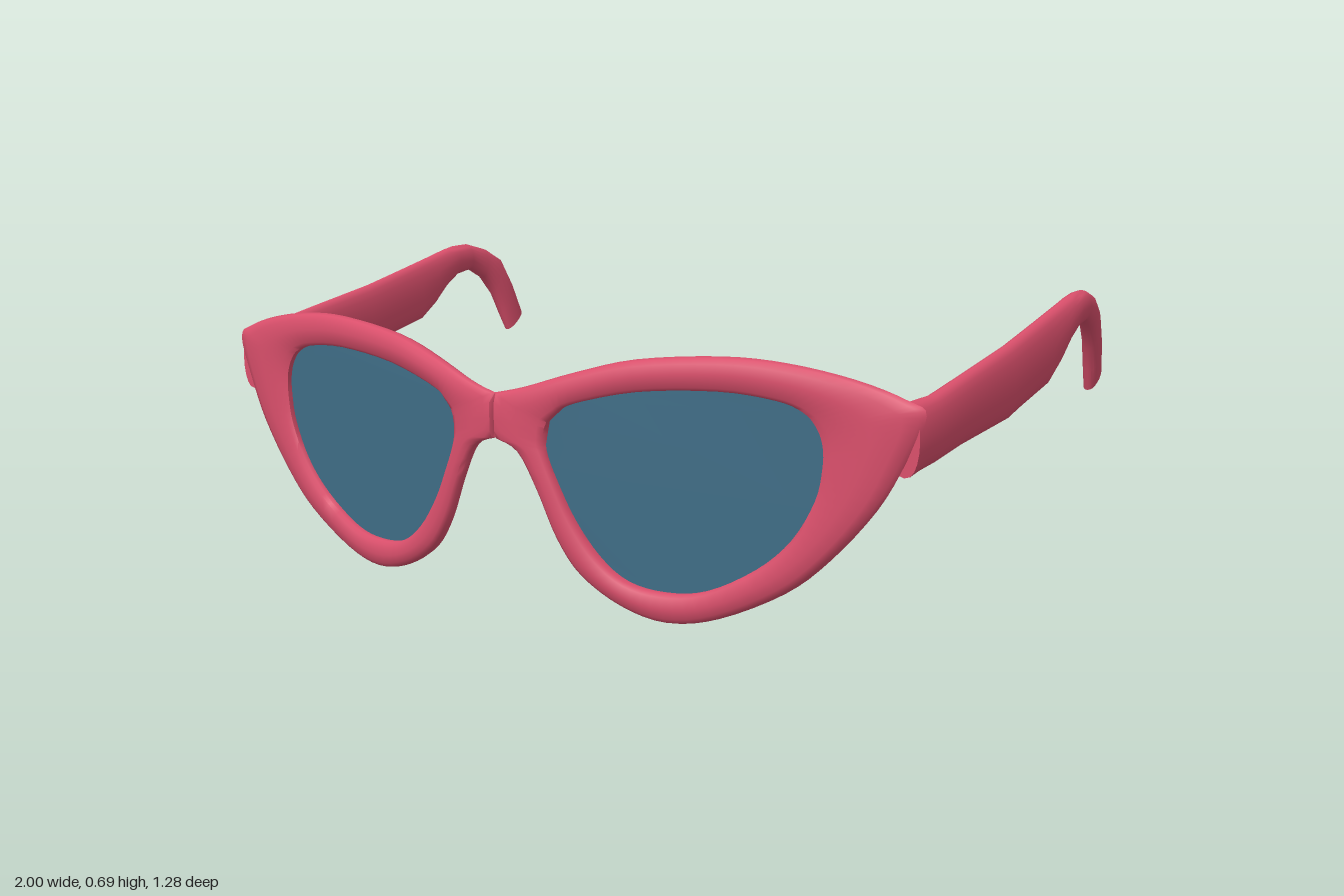
import * as THREE from 'three';
import { mergeGeometries, toCreasedNormals } from 'three/addons/utils/BufferGeometryUtils.js';

const frameMat = new THREE.MeshStandardMaterial({ color: 0xd94f6b });
frameMat.name = 'rose red';
const lensMat = new THREE.MeshStandardMaterial({ color: 0x3f6d86, side: THREE.DoubleSide });
lensMat.name = 'smoky blue';

// Rim outline and matching lens outline, from the bridge top around to the bridge bottom
const OUTER = [[0, .495], [.08, .515], [.2, .555], [.35, .595], [.55, .615], [.7, .61], [.85, .585],
  [.96, .55], [1, .52], [.96, .42], [.9, .31], [.8, .19], [.7, .105], [.55, .03], [.43, .005],
  [.32, .03], [.22, .09], [.16, .17], [.11, .28], [.06, .365], [0, .39]];
const INNER = [[.14, .44], [.16, .46], [.2, .485], [.36, .525], [.55, .54], [.68, .53], [.74, .51],
  [.77, .48], [.785, .44], [.785, .39], [.77, .32], [.72, .23], [.64, .155], [.52, .09], [.42, .075],
  [.33, .09], [.26, .14], [.2, .22], [.155, .31], [.135, .36], [.13, .385]];
// Rim cross-section: [inner to outer, front to back]
const RIM = [[0, .2], [.1, .03], [.5, 0], [.8, .06], [.95, .25], [1, .5],
  [.95, .75], [.8, .94], [.5, 1], [.1, .97], [0, .8]];
// Temple stations: top z, top y, bottom z, bottom y, centre x, half width
const TEMPLE = [[.455, .545, .455, .385, .955, .035], [.42, .545, .42, .393, .958, .034],
  [.36, .55, .36, .403, .968, .027], [.2, .577, .24, .42, .97, .026], [0, .61, 0, .44, .97, .026],
  [-.08, .627, -.06, .455, .97, .026], [-.2, .653, -.22, .49, .97, .026],
  [-.28, .67, -.28, .53, .97, .026], [-.34, .683, -.33, .575, .97, .026],
  [-.38, .689, -.38, .605, .97, .026], [-.43, .69, -.44, .615, .968, .025],
  [-.5, .67, -.49, .585, .96, .024], [-.56, .635, -.53, .53, .95, .023],
  [-.605, .555, -.555, .47, .942, .022], [-.64, .47, -.575, .42, .934, .018]];

const toCurve = pts => new THREE.SplineCurve(pts.map(p => new THREE.Vector2(...p)));
const frontZ = x => .655 - .185 * Math.sqrt(x * x + .008);
const depth = x => .03 + .025 * Math.min(1, x / .25) - .012 * x;

// Skin a list of rings; side = -1 mirrors the result
function loft(rings, closed, side) {
  const n = rings[0].length, pos = [], index = [];
  rings.forEach(r => r.forEach(([x, y, z]) => pos.push(x * side, y, z)));
  const tri = (a, b, c) => (side > 0 ? index.push(a, b, c) : index.push(a, c, b));
  for (let i = 0; i < rings.length - (closed ? 0 : 1); i++) {
    const next = (i + 1) % rings.length;
    for (let j = 0; j < n; j++) {
      const k = (j + 1) % n;
      const a = i * n + j, b = i * n + k, c = next * n + k, d = next * n + j;
      tri(a, c, b);
      tri(a, d, c);
    }
  }
  if (!closed) {
    const e = (rings.length - 1) * n;
    for (let j = 1; j < n - 1; j++) {
      tri(0, j, j + 1);
      tri(e, e + j + 1, e + j);
    }
  }
  const g = new THREE.BufferGeometry();
  g.setAttribute('position', new THREE.Float32BufferAttribute(pos, 3));
  g.setIndex(index);
  return g.toNonIndexed();
}

// One rim; the last rows run up the bridge at full depth so the halves meet cleanly
function rimRings() {
  const steps = 80, outer = toCurve(OUTER).getPoints(steps), inner = toCurve(INNER).getPoints(steps);
  const rows = outer.map((o, i) => [o.x, o.y, inner[i].x, inner[i].y, true]);
  rows.push([0, .41, .13, .397, false], [0, .44, .131, .411, false], [0, .475, .134, .426, false]);
  return rows.map(([ox, oy, ix, iy, round]) => RIM.map(([s, d]) => {
    const x = Math.max(0, ix + (ox - ix) * s), y = iy + (oy - iy) * s;
    const dd = round || s <= .5 || s === 1 && d === .5 ? d : Math.round(d);
    return [x, y, frontZ(x) - depth(x) * dd];
  }));
}

function templeRings() {
  const n = 20;
  return TEMPLE.map(([tz, ty, bz, by, cx, w]) => Array.from({ length: n }, (_, j) => {
    const a = j / n * Math.PI * 2, c = Math.cos(a), s = Math.sin(a);
    const x = cx + Math.sign(c) * Math.abs(c) ** .8 * w;
    return [x, (ty + by) / 2 + s * (ty - by) / 2, (tz + bz) / 2 + s * (tz - bz) / 2];
  }));
}

// Thin lens following the sweep of the rim
function lensGeometry(side) {
  const pts = toCurve(INNER).getPoints(80).map(p => new THREE.Vector2(p.x * side, p.y));
  const g = new THREE.ShapeGeometry(new THREE.Shape(pts));
  const p = g.attributes.position;
  for (let i = 0; i < p.count; i++) {
    const x = Math.abs(p.getX(i));
    p.setZ(i, frontZ(x) - depth(x) * .5);
  }
  g.computeVertexNormals();
  return g;
}

export function createModel() {
  const model = new THREE.Group();
  model.name = 'sunglasses';
  const add = (name, geometry, material) => {
    const mesh = new THREE.Mesh(geometry, material);
    mesh.name = name;
    model.add(mesh);
  };
  const rim = rimRings(), temple = templeRings();
  const front = mergeGeometries([loft(rim, true, 1), loft(rim, true, -1)]);
  add('frontFrame', toCreasedNormals(front, 1), frameMat);
  for (const [side, name] of [[1, 'left'], [-1, 'right']]) {
    add(name + 'Temple', toCreasedNormals(loft(temple, false, side), .9), frameMat);
    add(name + 'Lens', lensGeometry(side), lensMat);
  }
  return model;
}
